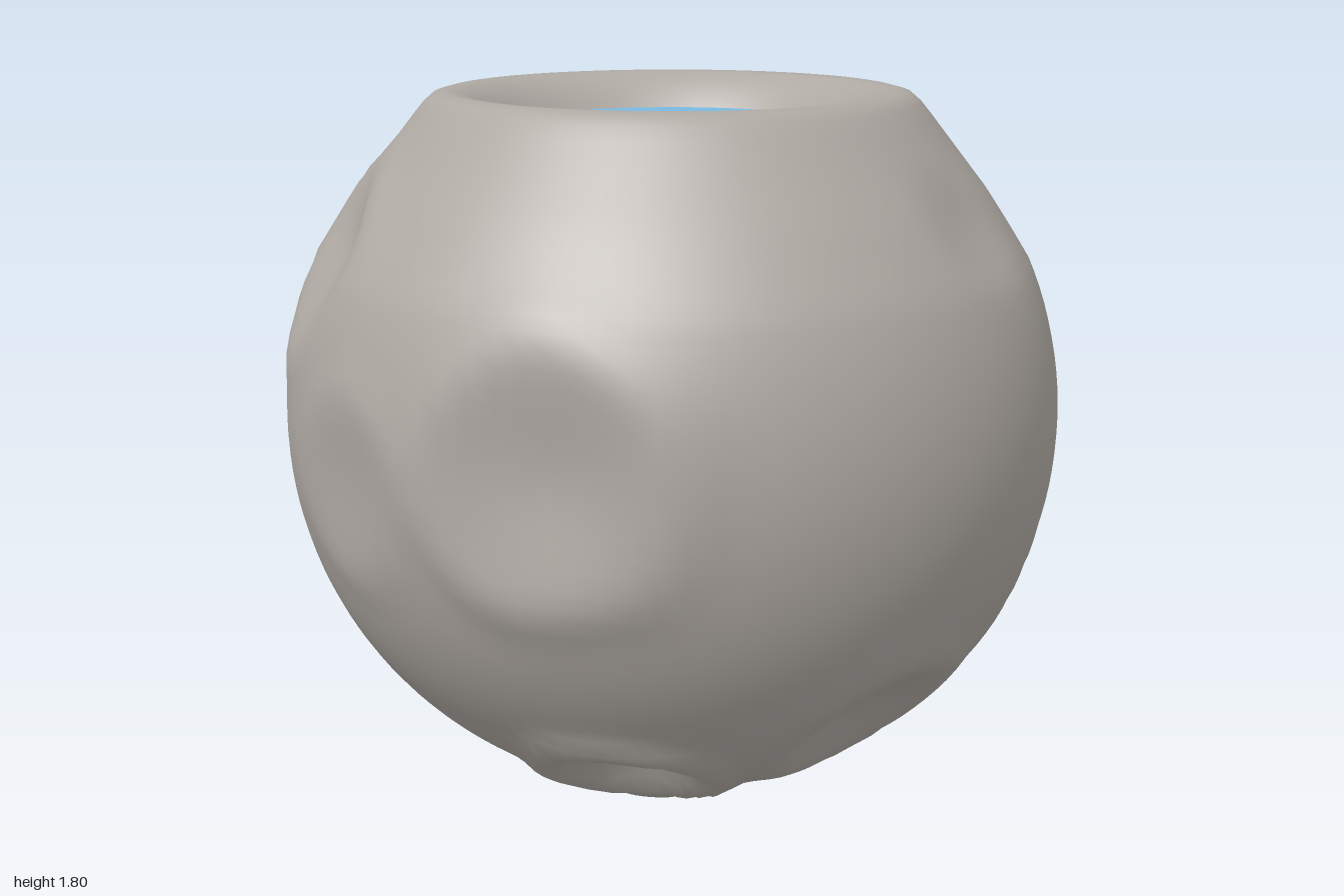
import * as THREE from 'three';
import { mergeVertices } from 'three/addons/utils/BufferGeometryUtils.js';

const R = 0.98;
const CENTER_Y = 1.0;

// Dents: direction from the ball's centre, radius, depth, lip height
const DENTS = [
  { dir: [-0.15, -0.8, 0.5], r: 0.22, depth: 0.11, lip: 0.025 },
  { dir: [0.84, -0.53, 0], r: 0.27, depth: 0.09, lip: 0.01 },
  { dir: [0.42, -0.7, 0.55], r: 0.27, depth: 0.07, lip: 0.01 },
  { dir: [-0.38, 0.04, 0.9], r: 0.3, depth: 0.055, lip: 0.015 },
  { dir: [-0.84, 0.42, 0.13], r: 0.25, depth: 0.055, lip: 0.01 },
  { dir: [-0.8, -0.05, 0.5], r: 0.22, depth: 0.025, lip: 0.005 },
  { dir: [-0.66, -0.3, -0.66], r: 0.22, depth: 0.04, lip: 0.005 },
  { dir: [0.15, 0.53, -0.8], r: 0.22, depth: 0.035, lip: 0.01 },
  { dir: [0.5, 0.47, -0.68], r: 0.2, depth: 0.025, lip: 0.006 },
  { dir: [0.87, 0.42, -0.06], r: 0.2, depth: 0.015, lip: 0 },
  { dir: [0.65, 0.52, 0.48], r: 0.2, depth: 0.02, lip: 0 },
  { dir: [0.05, -0.98, -0.06], r: 0.16, depth: 0.015, lip: 0.015 },
].map((d) => ({ ...d, dir: new THREE.Vector3(...d.dir).normalize() }));

// Radial offset of the surface in a given direction, with uneven dent outlines
function dentOffset(dir) {
  const wobble = 1 + 0.1 * Math.sin(9 * dir.x + 4 * dir.y) * Math.cos(11 * dir.z - 5 * dir.y);
  let offset = 0;
  for (const { dir: c, r, depth, lip } of DENTS) {
    const t = (dir.angleTo(c) * R * wobble) / r;
    if (t < 1) offset -= depth * (1 - t * t) ** 2;
    offset += lip * Math.exp(-(((t - 1.05) / 0.22) ** 2));
  }
  return offset;
}

// Ball profile from the bottom pole, up the tapering shoulder, over the rim, into the bowl
function rockProfile() {
  const points = [];
  const steps = 48;
  const start = -Math.PI / 2;
  const end = Math.asin(0.4 / R);
  for (let i = 0; i <= steps; i++) {
    const a = start + ((end - start) * i) / steps;
    points.push(new THREE.Vector2(i ? R * Math.cos(a) : 0, CENTER_Y + R * Math.sin(a)));
  }
  const shoulder = [[0.87, 1.44], [0.845, 1.48], [0.815, 1.525], [0.785, 1.57], [0.75, 1.615],
    [0.715, 1.66], [0.68, 1.705], [0.645, 1.75], [0.618, 1.783]];
  const rim = [[0.595, 1.803], [0.565, 1.811], [0.53, 1.807], [0.495, 1.79],
    [0.455, 1.76], [0.425, 1.72], [0.38, 1.66], [0.28, 1.6], [0.14, 1.57], [0, 1.56]];
  [...shoulder, ...rim].forEach(([x, y]) => points.push(new THREE.Vector2(x, y)));
  return points;
}

function rockGeometry() {
  let geo = new THREE.LatheGeometry(rockProfile(), 96);
  geo.deleteAttribute('uv');
  geo.deleteAttribute('normal');
  geo = mergeVertices(geo, 1e-4);

  // Press the dents into the outside, fading out towards the rim
  const pos = geo.attributes.position;
  const center = new THREE.Vector3(0, CENTER_Y, 0);
  const v = new THREE.Vector3();
  for (let i = 0; i < pos.count; i++) {
    v.fromBufferAttribute(pos, i).sub(center);
    if (v.length() < 0.88) continue;
    const fade = 1 - THREE.MathUtils.smoothstep(v.y, 0.58, 0.76);
    const dir = v.clone().normalize();
    v.addScaledVector(dir, dentOffset(dir) * fade).add(center);
    pos.setXYZ(i, v.x, Math.max(v.y, 0), v.z);
  }
  geo.computeVertexNormals();
  return geo;
}

export function createModel() {
  const stone = new THREE.MeshStandardMaterial({ color: 0xafa9a3 });
  stone.name = 'stone';
  const waterBlue = new THREE.MeshStandardMaterial({ color: 0x77b9e1 });
  waterBlue.name = 'water blue';

  const group = new THREE.Group();
  group.name = 'rockBowl';

  const rock = new THREE.Mesh(rockGeometry(), stone);
  rock.name = 'rock';

  // Water surface filling the hollow
  const water = new THREE.Mesh(new THREE.CircleGeometry(0.427, 64), waterBlue);
  water.name = 'water';
  water.rotation.x = -Math.PI / 2;
  water.position.y = 1.722;

  group.add(rock, water);
  group.position.z = -0.01;
  return group;
}
